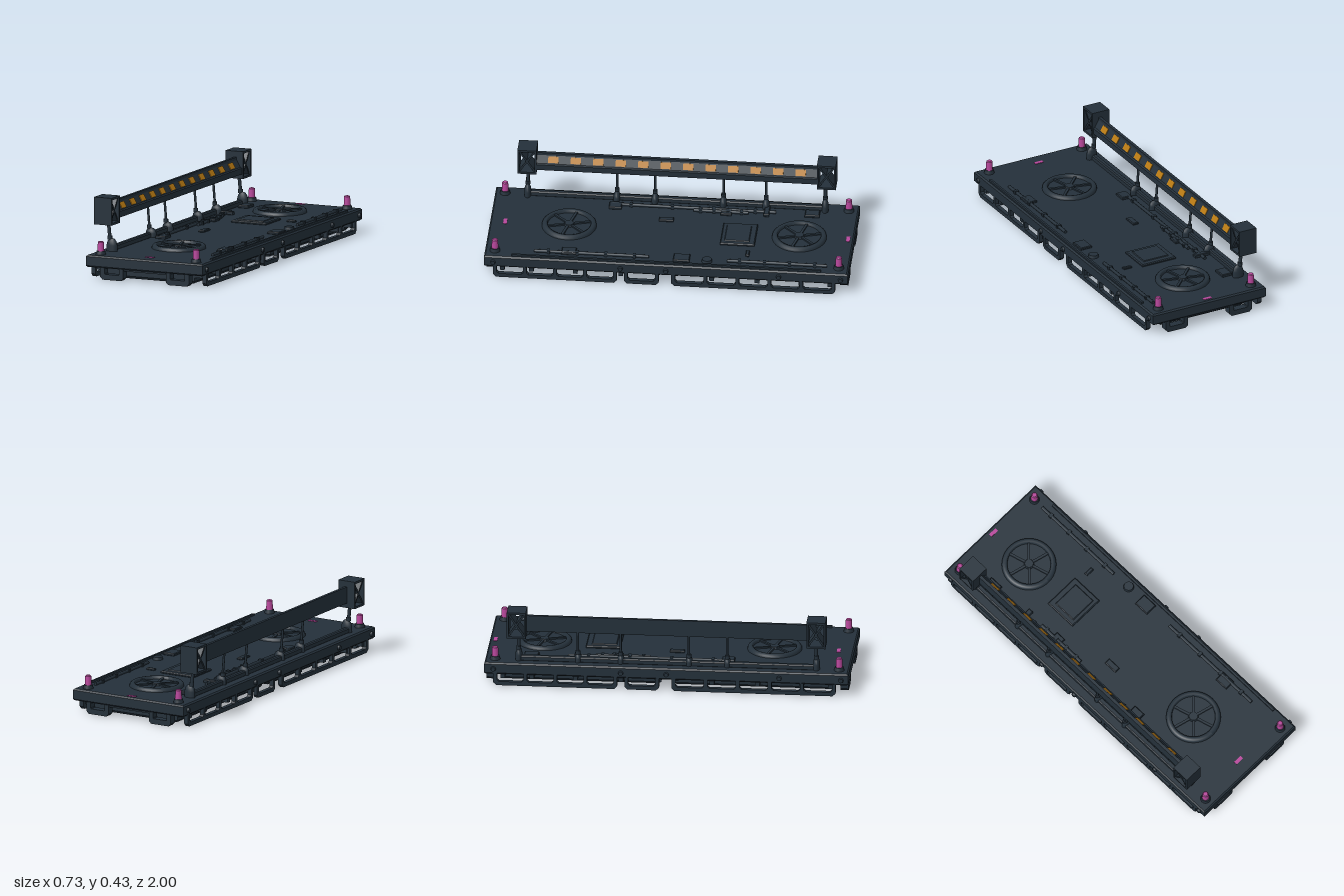
import * as THREE from 'three';

const steel = new THREE.MeshStandardMaterial({ color: 0x24303a });
const lampPink = new THREE.MeshStandardMaterial({ color: 0xb8479c });
const signalOrange = new THREE.MeshStandardMaterial({ color: 0xb87a12 });
steel.name = 'darkSteel';
lampPink.name = 'lampPink';
signalOrange.name = 'signalOrange';

function add(parent, name, geometry, x = 0, y = 0, z = 0, material = steel) {
  const mesh = new THREE.Mesh(geometry, material);
  mesh.name = name;
  mesh.position.set(x, y, z);
  parent.add(mesh);
  return mesh;
}

const box = (w, h, d) => new THREE.BoxGeometry(w, h, d);
const cyl = (rt, rb, h, n = 16) => new THREE.CylinderGeometry(rt, rb, h, n);

function outline(points) {
  return new THREE.Shape(points.map(([x, y]) => new THREE.Vector2(x, y)));
}

// Rectangle with cut corners, as a point list
function cutRect(x0, y0, x1, y1, c) {
  return [[x0 + c, y0], [x1 - c, y0], [x1, y0 + c], [x1, y1 - c],
    [x1 - c, y1], [x0 + c, y1], [x0, y1 - c], [x0, y0 + c]];
}

// Chamfered block centred on its own origin
function slab(w, h, d, c) {
  const a = w / 2 - c, b = d / 2 - c;
  const g = new THREE.ExtrudeGeometry(outline([[-a, -b], [a, -b], [a, b], [-a, b]]), {
    depth: h - 2 * c, bevelEnabled: true, bevelSegments: 1, bevelSize: c, bevelThickness: c,
  });
  return g.rotateX(-Math.PI / 2).translate(0, c - h / 2, 0);
}

// Plate with cut-out windows, centred in thickness
function framePlate(outer, holes, thickness) {
  const shape = outline(outer);
  holes.forEach((h) => shape.holes.push(new THREE.Path(h.map(([x, y]) => new THREE.Vector2(x, y)))));
  return new THREE.ExtrudeGeometry(shape, { depth: thickness, bevelEnabled: false })
    .translate(0, 0, -thickness / 2);
}

// Round bar between two points
function bar(parent, name, a, b, r, n = 8) {
  const p = new THREE.Vector3(...a), q = new THREE.Vector3(...b);
  const mesh = add(parent, name, cyl(r, r, p.distanceTo(q), n));
  mesh.position.copy(p).add(q).multiplyScalar(0.5);
  mesh.quaternion.setFromUnitVectors(new THREE.Vector3(0, 1, 0), q.sub(p).normalize());
  return mesh;
}

function buildChassis(root) {
  add(root, 'deck', slab(0.71, 0.066, 2, 0.008), 0, 0.1, 0);
  // Two belly tanks with a clear gap at the middle
  for (const s of [-1, 1]) {
    add(root, 'bellyTank', slab(0.53, 0.07, 0.88, 0.014), 0, 0.04, s * 0.475);
    add(root, 'crossBeam', box(0.66, 0.025, 0.03), 0, 0.066, s * 0.05);
    for (const x of [-0.3, 0.3]) {
      for (const z of [0.25, 0.5, 0.74, 0.9]) add(root, 'underRib', box(0.08, 0.03, 0.025), x, 0.055, s * z);
    }
  }

  // Hanging side guards, turned half round for the other side
  const runs = [[0.27, 0.95, 4], [0.04, 0.23, 1], [-0.93, -0.03, 5]];
  for (const turn of [0, Math.PI]) {
    const side = new THREE.Group();
    side.name = 'sideGuards';
    side.rotation.y = turn;
    root.add(side);
    for (const [a, b, count] of runs) {
      const step = (b - a - 0.02) / count;
      const holes = Array.from({ length: count }, (_, i) =>
        cutRect(-b + 0.02 + i * step, 0.025, -b + (i + 1) * step, 0.082, 0.01));
      const g = framePlate(cutRect(-b, 0.003, -a, 0.1, 0.016), holes, 0.024).rotateY(Math.PI / 2);
      add(side, 'sideGuard', g, 0.342, 0, 0);
    }
    for (const z of [-0.96, -0.62, 0, 0.25, 0.95]) {
      add(side, 'sideStud', cyl(0.012, 0.016, 0.016, 8).rotateZ(-Math.PI / 2), 0.358, 0.098, z);
    }
  }

  // End step brackets
  for (const z of [-0.972, 0.972]) {
    for (const x of [-0.2, 0.2]) {
      const g = framePlate(cutRect(-0.07, 0.003, 0.07, 0.11, 0.014),
        [cutRect(-0.044, 0.033, 0.044, 0.088, 0.004)], 0.045);
      add(root, 'endBracket', g, x, 0, z);
    }
    add(root, 'endSill', box(0.26, 0.02, 0.03), 0, 0.067, z);
  }
}

function buildFan(root, z) {
  const fan = new THREE.Group();
  fan.name = 'deckFan';
  fan.position.set(0, 0.132, z);
  root.add(fan);
  const ring = [[0.118, 0], [0.12, 0.018], [0.128, 0.021], [0.14, 0.02], [0.148, 0.012], [0.15, 0]]
    .map(([r, y]) => new THREE.Vector2(r, y)).reverse();
  const rim = add(fan, 'fanRim', new THREE.LatheGeometry(ring, 40));
  rim.geometry.computeVertexNormals();
  add(fan, 'fanFloor', cyl(0.12, 0.12, 0.004, 32), 0, 0.003, 0);
  add(fan, 'fanHub', cyl(0.024, 0.03, 0.016, 16), 0, 0.01, 0);
  for (let i = 0; i < 6; i++) {
    const a = (i * Math.PI) / 3 + 0.25;
    const spoke = add(fan, 'fanSpoke', box(0.1, 0.008, 0.014), Math.cos(a) * 0.07, 0.011, Math.sin(a) * 0.07);
    spoke.rotation.y = -a;
  }
}

function buildDeckDetails(root) {
  buildFan(root, -0.7);
  buildFan(root, 0.565);

  // Hatch with raised lid
  add(root, 'hatchFrame', slab(0.21, 0.016, 0.19, 0.005), 0.015, 0.138, -0.37);
  add(root, 'hatchLid', slab(0.16, 0.02, 0.14, 0.005), 0.015, 0.14, -0.365);

  // Small deck boxes: x, z, width, depth, height
  const boxes = [[-0.1, 0.04, 0.034, 0.08, 0.014], [0.28, -0.08, 0.07, 0.09, 0.016],
    [-0.23, -0.75, 0.06, 0.08, 0.018], [-0.21, 0.33, 0.06, 0.07, 0.018], [0.2, -0.435, 0.05, 0.02, 0.014],
    [-0.23, -0.5, 0.09, 0.03, 0.02], [-0.2, -0.28, 0.05, 0.06, 0.016], [0.27, 0.54, 0.06, 0.08, 0.016]];
  for (const [x, z, w, d, h] of boxes) add(root, 'deckBox', slab(w, h, d, 0.004), x, 0.131 + h / 2, z);
  add(root, 'fillerCap', cyl(0.026, 0.03, 0.018, 16), 0.29, 0.14, -0.22);

  // Pipes along both edges
  const pipes = [[0.285, -0.88, -0.33], [0.285, 0.1, 0.73], [-0.225, -0.55, 0.36], [-0.205, -0.4, -0.1]];
  for (const [x, a, b] of pipes) {
    bar(root, 'deckPipe', [x, 0.141, a], [x, 0.141, b], 0.009);
    for (let i = 0; i < 4; i++) {
      add(root, 'pipeClamp', box(0.026, 0.022, 0.016), x, 0.14, a + ((b - a) * (i + 0.5)) / 4);
    }
  }
  add(root, 'railChannel', slab(0.03, 0.032, 1.62, 0.006), -0.29, 0.145, 0);
  add(root, 'edgeStrip', box(0.012, 0.014, 1.7), 0.335, 0.137, 0);

  // Corner lamps and deck markers
  for (const x of [-0.29, 0.29]) {
    for (const z of [-0.945, 0.945]) {
      add(root, 'lampBase', cyl(0.024, 0.029, 0.022, 20), x, 0.142, z);
      add(root, 'cornerLamp', cyl(0.0165, 0.019, 0.05, 20), x, 0.177, z, lampPink);
      add(root, 'lampCap', cyl(0.012, 0.0165, 0.004, 20), x, 0.204, z, lampPink);
    }
  }
  for (const z of [-0.968, 0.917]) add(root, 'deckMarker', box(0.05, 0.004, 0.02), -0.005, 0.134, z, lampPink);
}

function buildSignalRail(root) {
  // Beam with a sloped display face
  const profile = [[-0.315, 0.31], [-0.265, 0.31], [-0.265, 0.343], [-0.275, 0.347],
    [-0.298, 0.387], [-0.298, 0.402], [-0.315, 0.402]];
  add(root, 'signalBeam', framePlate(profile, [], 1.56));
  const tilt = Math.atan2(0.023, 0.04);
  for (let i = 0; i < 12; i++) {
    const mark = add(root, 'signalMark', box(0.006, 0.036, 0.056), -0.2855, 0.3675, 0.68 - (i * 1.36) / 11, signalOrange);
    mark.rotation.z = tilt;
  }

  // Open end housings with cross braces
  for (const s of [-1, 1]) {
    const head = new THREE.Group();
    head.name = 'endHousing';
    head.position.set(-0.312, 0.359, s * 0.823);
    root.add(head);
    for (const k of [-1, 1]) {
      add(head, 'housingCap', box(0.106, 0.012, 0.104), 0, k * 0.07, 0);
      add(head, 'housingWall', box(0.106, 0.152, 0.01), 0, 0, k * 0.047);
      const brace = add(head, 'housingBrace', box(0.09, 0.165, 0.01), 0, 0, 0);
      brace.rotation.x = k * 0.6;
    }
  }

  // Posts on domed feet
  const foot = [[0.032, 0], [0.032, 0.035], [0.027, 0.056], [0.016, 0.07], [0, 0.075]]
    .map(([r, y]) => new THREE.Vector2(r, y));
  for (const z of [0.82, 0.33, 0.12, -0.255, -0.49, -0.815]) {
    const end = Math.abs(z) > 0.8;
    const base = add(root, 'postFoot', new THREE.LatheGeometry(foot, 16), -0.283, 0.13, z);
    base.scale.set(1, end ? 1 : 0.75, 0.6);
    bar(root, 'post', [-0.292, 0.17, z], [-0.304, end ? 0.29 : 0.315, z], end ? 0.01 : 0.007);
    add(root, 'postCollar', cyl(0.013, 0.013, 0.02, 12), -0.295, end ? 0.207 : 0.19, z);
  }
}

export function createModel() {
  const root = new THREE.Group();
  root.name = 'signalPlatform';
  buildChassis(root);
  buildDeckDetails(root);
  buildSignalRail(root);
  return root;
}
